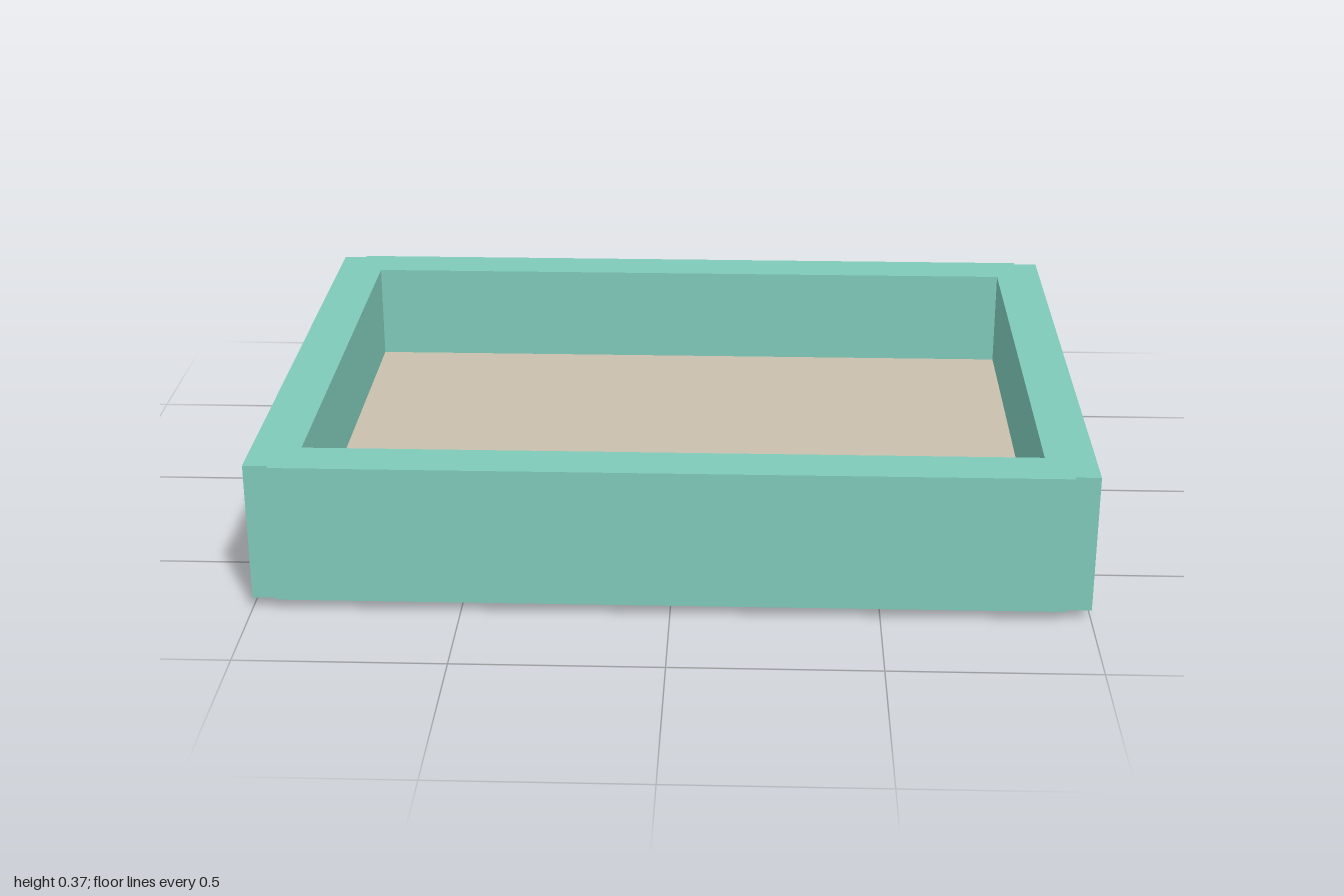
import * as THREE from 'three';

export function createModel() {
  const model = new THREE.Group();
  model.name = 'tray';

  const teal = new THREE.MeshStandardMaterial({ color: 0x7fcab9 });
  teal.name = 'teal';
  const beige = new THREE.MeshStandardMaterial({ color: 0xc9bfad });
  beige.name = 'beige';

  const addBox = (name, material, size, position) => {
    const mesh = new THREE.Mesh(new THREE.BoxGeometry(...size), material);
    mesh.name = name;
    mesh.position.set(...position);
    model.add(mesh);
  };

  const wall = 0.12; // thickness of walls and base
  const wallHeight = 0.345;
  const wallY = 0.2; // centre height of the walls

  // Base panel, reaching halfway into the walls and slightly below them
  addBox('base', beige, [1.88, wall, 1.38], [0, wall / 2, 0]);

  // Long walls stand a little proud of the ends of the short walls
  for (const [name, side] of [['frontWall', 1], ['backWall', -1]]) {
    addBox(name, teal, [1.88, wallHeight, wall], [0, wallY, side * 0.69]);
  }

  // Short walls
  for (const [name, side] of [['leftWall', 1], ['rightWall', -1]]) {
    addBox(name, teal, [wall, wallHeight, 1.48], [side * 0.94, wallY, 0]);
  }

  return model;
}
